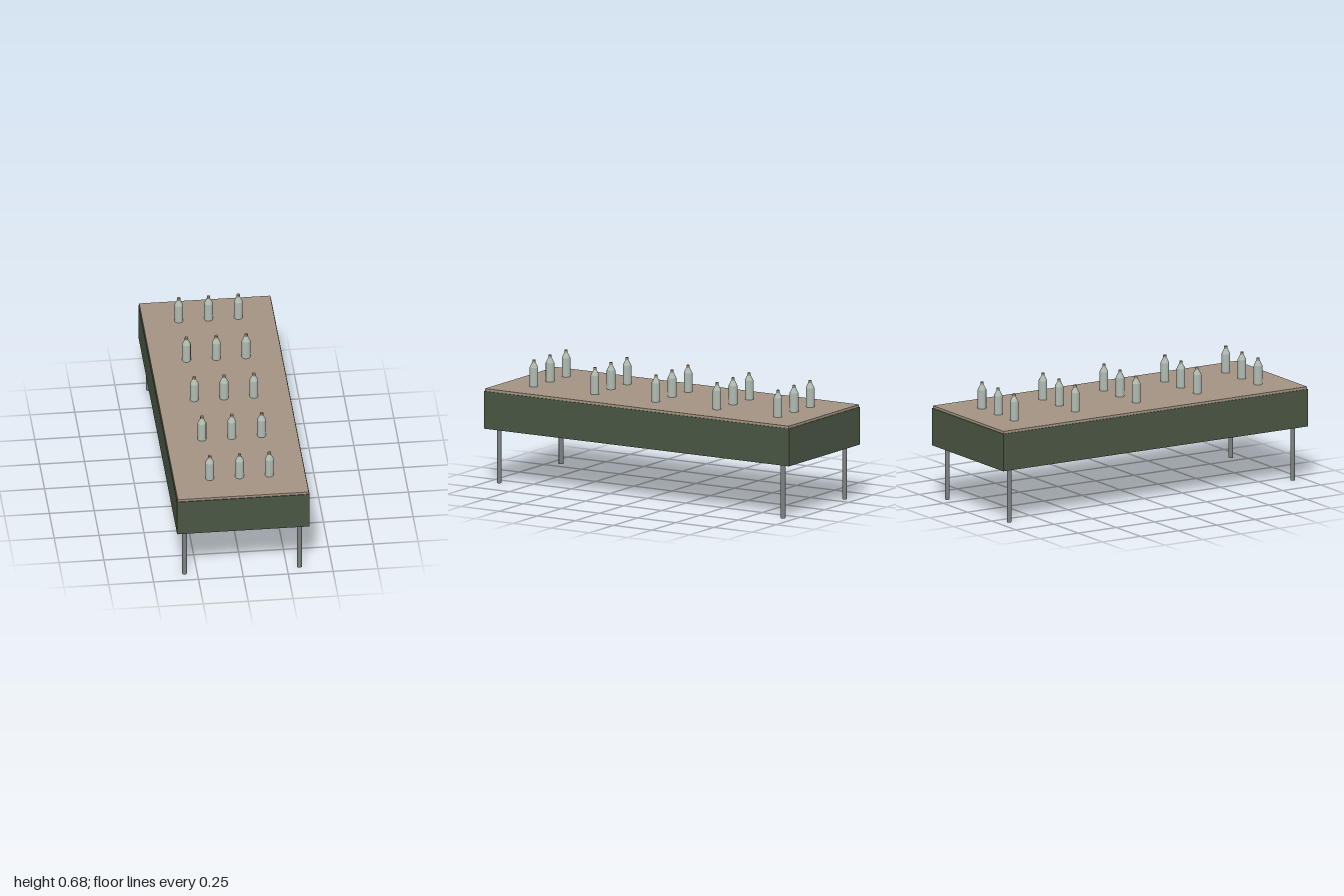
import * as THREE from 'three';

const mat = (name, color) => {
  const m = new THREE.MeshStandardMaterial({ color });
  m.name = name;
  return m;
};

export function createModel() {
  const model = new THREE.Group();
  model.name = 'bottleTable';

  const green = mat('dark green', 0x4a5643);
  const tan = mat('tan wood', 0xa39383);
  const steel = mat('grey steel', 0x7d8183);
  const glass = mat('pale glass', 0xafbbb1);
  const cork = mat('cork brown', 0x9e8871);

  const add = (parent, name, geometry, material, x, y, z) => {
    const mesh = new THREE.Mesh(geometry, material);
    mesh.name = name;
    mesh.position.set(x, y, z);
    parent.add(mesh);
    return mesh;
  };

  // Deep skirt box with a slightly inset board on top
  add(model, 'skirt', new THREE.BoxGeometry(0.738, 0.212, 2), green, 0, 0.413, 0);
  add(model, 'tableTop', new THREE.BoxGeometry(0.73, 0.018, 1.992), tan, 0, 0.524, 0);

  // Four round legs
  const legGeometry = new THREE.CylinderGeometry(0.0133, 0.0133, 0.31, 16);
  for (const x of [-0.32, 0.32]) {
    for (const z of [-0.93, 0.93]) add(model, 'leg', legGeometry, steel, x, 0.155, z);
  }

  // Bottle: straight body, sloping shoulder, short stopper
  const bodyGeometry = new THREE.CylinderGeometry(0.024, 0.024, 0.108, 16);
  const shoulderGeometry = new THREE.CylinderGeometry(0.0095, 0.024, 0.029, 16, 1, true);
  const stopperGeometry = new THREE.CylinderGeometry(0.0095, 0.0095, 0.015, 16);

  // Three columns by five rows of bottles
  for (let row = -2; row <= 2; row++) {
    for (let col = -1; col <= 1; col++) {
      const bottle = new THREE.Group();
      bottle.name = 'bottle';
      bottle.position.set(col * 0.166, 0.532, row * 0.4);
      add(bottle, 'bottleBody', bodyGeometry, glass, 0, 0.054, 0);
      add(bottle, 'bottleShoulder', shoulderGeometry, glass, 0, 0.1225, 0);
      add(bottle, 'stopper', stopperGeometry, cork, 0, 0.1435, 0);
      model.add(bottle);
    }
  }
  return model;
}
